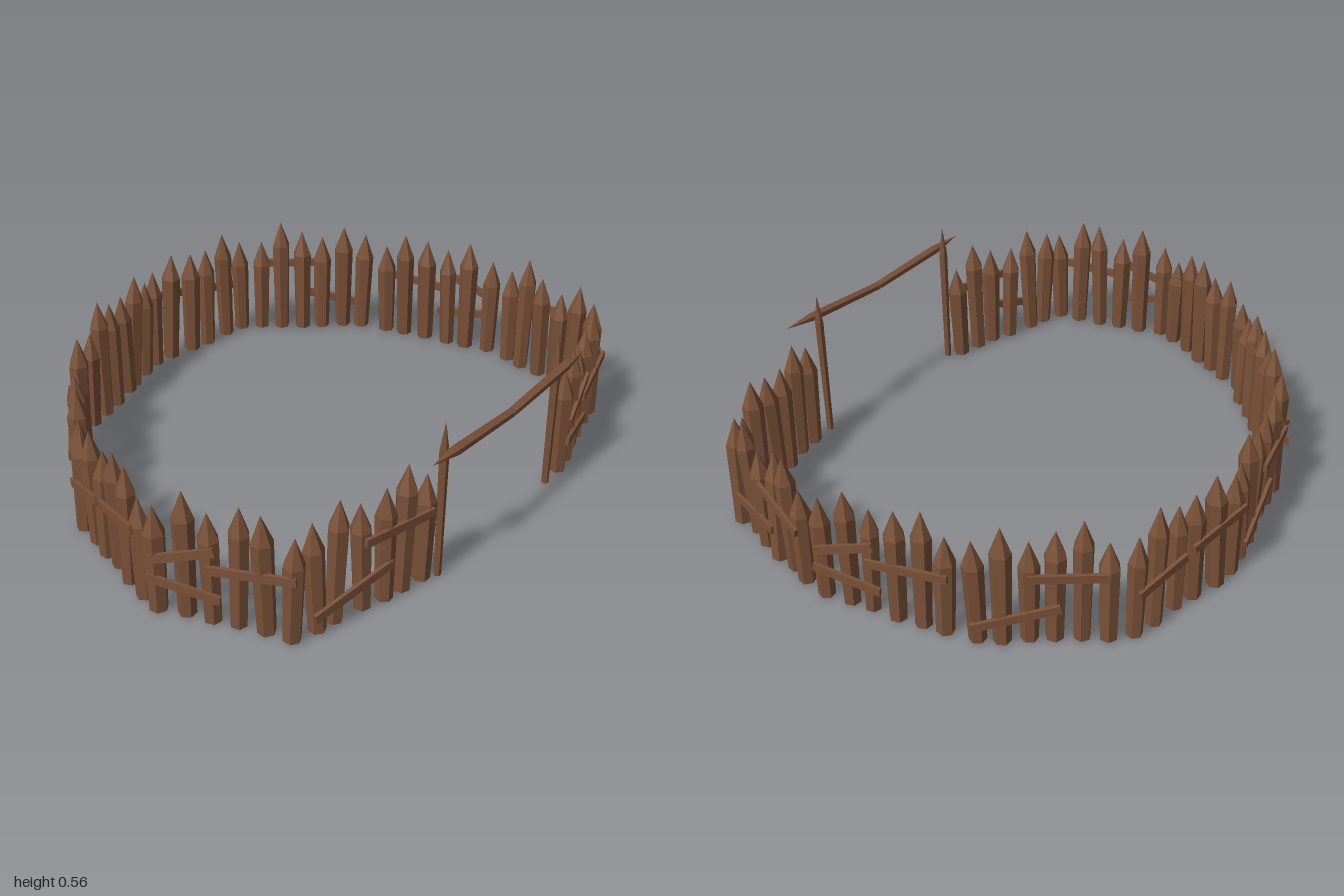
import * as THREE from 'three';

const wood = new THREE.MeshStandardMaterial({ color: 0x7a5138, flatShading: true });
wood.name = 'brown wood';

// Plank layouts along a wall: [start fraction, start height, end fraction, end height]
const LAYOUTS = {
  triple: [[0.03, 0.205, 0.47, 0.28], [0, 0.137, 0.5, 0.108], [0.4, 0.21, 1, 0.235]],
  rising: [[0, 0.18, 0.43, 0.22], [0.5, 0.23, 1, 0.27]],
  lowHigh: [[0, 0.075, 0.62, 0.145], [0.39, 0.262, 0.95, 0.262]],
  falling: [[0.08, 0.125, 0.62, 0.13], [0.48, 0.275, 1, 0.225]],
};

// Each wall: plank layout and outer line x0, z0, x1, z1, left to right from outside
const WALLS = [
  ['triple', 0.14, -0.99, -0.3, -0.86],
  ['lowHigh', -0.37, -0.845, -0.7, -0.56],
  ['rising', -0.745, -0.51, -0.815, -0.06],
  ['lowHigh', -0.795, -0.01, -0.68, 0.4],
  ['triple', -0.645, 0.475, -0.3, 0.795],
  ['rising', -0.255, 0.835, 0.155, 0.98],
  ['triple', 0.215, 0.99, 0.65, 0.83],
  ['lowHigh', 0.67, 0.77, 0.78, 0.32],
  ['triple', 0.8, -0.4, 0.68, -0.835],
  ['falling', 0.635, -0.89, 0.21, -0.985],
];
const HEIGHTS = [0.385, 0.43, 0.385, 0.41, 0.43, 0.37];

// Small seeded generator for natural variation, returns -1..1
let seed = 7;
function vary() {
  seed = (seed * 16807) % 2147483647;
  return (seed / 2147483647) * 2 - 1;
}

// Faceted round timber from [radius, height] pairs
function timber(name, profile) {
  const points = profile.map(([r, y]) => new THREE.Vector2(r, y));
  const mesh = new THREE.Mesh(new THREE.LatheGeometry(points, 6), wood);
  mesh.name = name;
  return mesh;
}

function makeStake(position, height) {
  const r = 0.034 + vary() * 0.002;
  const stake = timber('stake', [[0, 0], [r * 0.83, 0], [r, height - 0.095], [0, height]]);
  stake.rotation.set(vary() * 0.035, vary() * Math.PI, vary() * 0.035);
  // Lean about the middle so the stake stays on its spot
  const mid = new THREE.Vector3(0, height / 2, 0).applyEuler(stake.rotation);
  stake.position.set(position.x - mid.x, 0.004, position.z - mid.z);
  return stake;
}

function makePlank(a, b) {
  const d = b.clone().sub(a);
  const plank = new THREE.Mesh(new THREE.BoxGeometry(d.length(), 0.029, 0.012), wood);
  plank.name = 'plank';
  plank.position.copy(a).lerp(b, 0.5);
  plank.rotation.set(0, Math.atan2(-d.z, d.x), Math.atan2(d.y, Math.hypot(d.x, d.z)), 'YZX');
  return plank;
}

// Six stakes just inside the wall line, with planks nailed along it
function makeWall([layout, x0, z0, x1, z1]) {
  const wall = new THREE.Group();
  wall.name = 'wall';
  const start = new THREE.Vector3(x0, 0, z0);
  const end = new THREE.Vector3(x1, 0, z1);
  const inward = new THREE.Vector3(z1 - z0, 0, x0 - x1).normalize();
  const pointAt = (t, y) => start.clone().lerp(end, t).setY(y);

  HEIGHTS.forEach((height, i) => {
    const t = 0.045 + i * 0.181 + vary() * 0.012;
    const spot = pointAt(t, 0).addScaledVector(inward, 0.032 + vary() * 0.005);
    wall.add(makeStake(spot, height + vary() * 0.018));
  });
  LAYOUTS[layout].forEach(([t0, y0, t1, y1]) => {
    wall.add(makePlank(pointAt(t0, y0), pointAt(t1, y1)));
  });
  return wall;
}

// Two slim posts and a sagging beam in two tapered halves
function makeGateway() {
  const gate = new THREE.Group();
  gate.name = 'gateway';
  for (const z of [0.3, -0.33]) {
    const post = timber('gatePost', [[0, 0], [0.012, 0], [0.015, 0.45], [0, 0.555]]);
    post.position.set(0.77, 0, z);
    gate.add(post);
  }
  for (const [inner, outer] of [[-0.014, 0.405], [-0.018, -0.45]]) {
    const a = new THREE.Vector3(0.8, 0.441, inner);
    const d = new THREE.Vector3(0.8, 0.468, outer).sub(a);
    const len = d.length();
    const beam = timber('gateBeam', [[0, 0], [0.015, 0], [0.017, len * 0.72], [0, len]]);
    beam.position.copy(a);
    beam.quaternion.setFromUnitVectors(new THREE.Vector3(0, 1, 0), d.normalize());
    gate.add(beam);
  }
  return gate;
}

export function createModel() {
  seed = 7;
  const model = new THREE.Group();
  model.name = 'palisade';
  WALLS.forEach((wall) => model.add(makeWall(wall)));
  model.add(makeGateway());
  return model;
}
